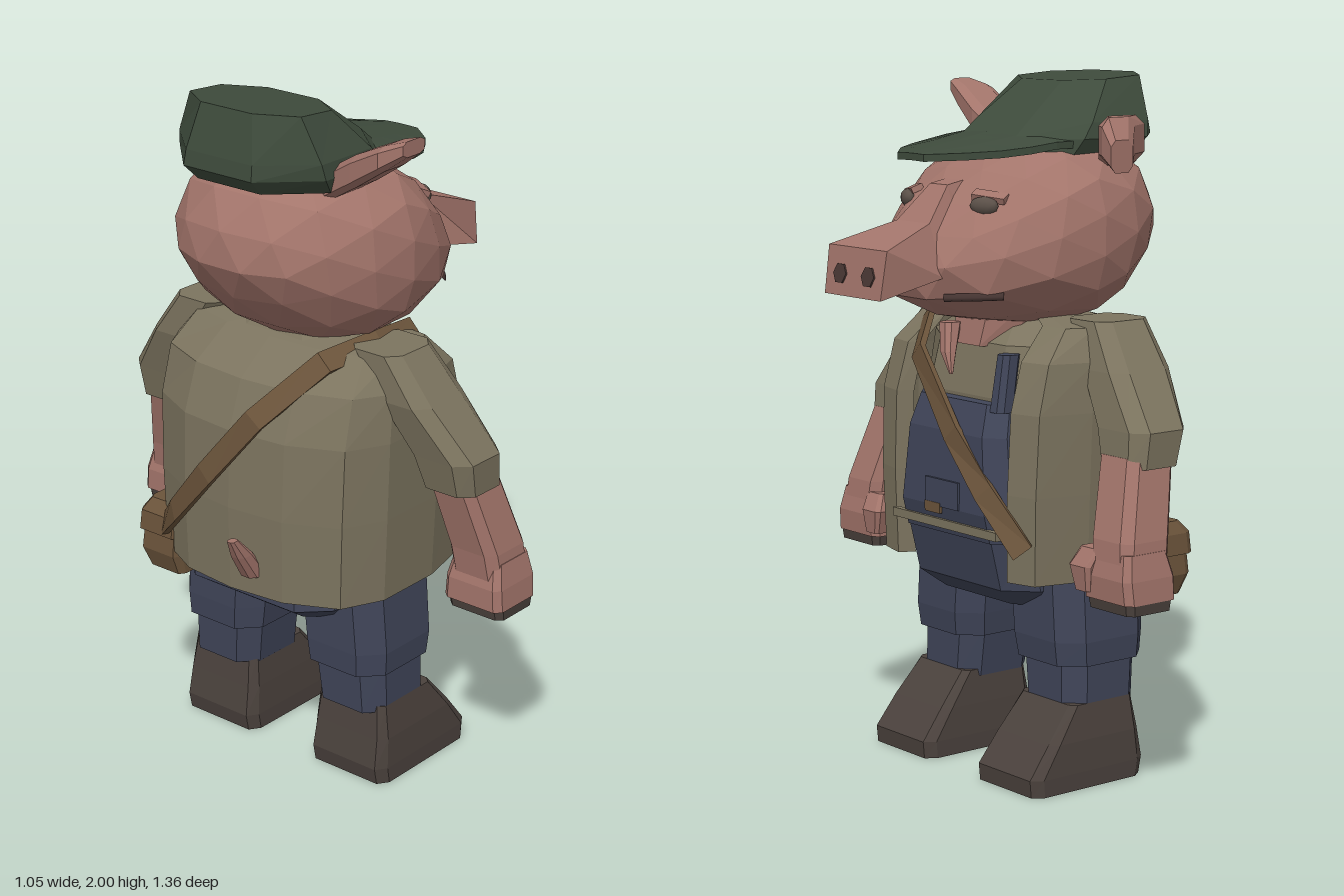
import * as THREE from 'three';

const mat = (name, color, side = THREE.FrontSide) => {
  const m = new THREE.MeshStandardMaterial({ color, side });
  m.name = name;
  return m;
};

// Cross-section with cut corners on a plane at pos along an axis.
// y: a = x, b = z    z: a = x, b = y
function ring(axis, pos, a0, a1, b0, b1, cut = 0.25) {
  const ca = (a1 - a0) * cut, cb = (b1 - b0) * cut;
  const pts = [[a1, b0 + cb], [a1, b1 - cb], [a1 - ca, b1], [a0 + ca, b1],
    [a0, b1 - cb], [a0, b0 + cb], [a0 + ca, b0], [a1 - ca, b0]];
  return pts.map(([a, b]) => axis === 'y' ? V(a, pos, b) : V(a, b, pos));
}

// Flat-shaded skin over rings; closed solids are turned to face outward
function loft(rings, closed = true) {
  const tris = [], n = rings[0].length;
  for (let r = 0; r + 1 < rings.length; r++) {
    const a = rings[r], b = rings[r + 1];
    for (let i = 0; i < (closed ? n : n - 1); i++) {
      const j = (i + 1) % n;
      tris.push([a[i], b[i], a[j]], [a[j], b[i], b[j]]);
    }
  }
  if (closed) {
    const a = rings[0], b = rings[rings.length - 1];
    for (let i = 1; i + 1 < n; i++) tris.push([a[0], a[i], a[i + 1]], [b[0], b[i + 1], b[i]]);
    const o = a[0], v = new THREE.Vector3(), p = new THREE.Vector3(), q = new THREE.Vector3();
    let volume = 0;
    for (const [s, t, u] of tris) {
      volume += v.copy(s).sub(o).dot(p.copy(t).sub(o).cross(q.copy(u).sub(o)));
    }
    if (volume < 0) tris.forEach(t => t.reverse());
  }
  const g = new THREE.BufferGeometry().setFromPoints(tris.flat());
  g.computeVertexNormals();
  return g;
}

const stack = (axis, rows, cut) => loft(rows.map(r => ring(axis, ...r, cut)));
const V = (x, y, z) => new THREE.Vector3(x, y, z);

// Maps a unit sphere point onto the head: boxy, jaw forward, brow and nape drawn in
function headPoint(x, y, z) {
  const p = 2.6, k = 1 / Math.pow(Math.pow(Math.hypot(x, z), p) + Math.pow(Math.abs(y), p), 1 / p);
  const front = Math.max(x, 0), nape = Math.max(-x, 0) * Math.max(-y, 0);
  return V(-0.08 + k * (0.39 * x - 0.19 * y * front + 0.15 * nape),
    1.565 + 0.275 * k * y * (1 - 0.14 * front), 0.37 * k * z);
}

export function createModel() {
  const model = new THREE.Group();
  const skin = mat('pink skin', 0xa3756b);
  const olive = mat('olive cloth', 0x7c745f, THREE.DoubleSide);
  const denim = mat('navy denim', 0x404559);
  const green = mat('green felt', 0x3e4b3c);
  const shoeBrown = mat('dark shoe leather', 0x4b423d);
  const leather = mat('brown leather', 0x6b543b);
  const dark = mat('dark hollow', 0x4a3835);
  const eyeGrey = mat('eye grey', 0x5c5149);
  const add = (name, geometry, material) => {
    const m = new THREE.Mesh(geometry, material);
    m.name = name;
    model.add(m);
    return m;
  };
  const box = (name, w, h, d, x, y, z, material) => {
    const m = add(name, new THREE.BoxGeometry(w, h, d), material);
    m.position.set(x, y, z);
    return m;
  };

  // Head
  const headGeo = new THREE.IcosahedronGeometry(1, 2);
  const pos = headGeo.attributes.position;
  for (let i = 0; i < pos.count; i++) {
    const p = headPoint(pos.getX(i), pos.getY(i), pos.getZ(i));
    pos.setXYZ(i, p.x, p.y, p.z);
  }
  headGeo.computeVertexNormals();
  add('head', headGeo, skin);
  add('neck', stack('y', [[1.24, -0.2, 0.12, -0.11, 0.11], [1.38, -0.24, 0.1, -0.16, 0.16]]), skin);
  add('chinTuft', stack('y', [[1.16, 0.17, 0.18, 0.0, 0.01], [1.22, 0.14, 0.18, 0.015, 0.06],
    [1.3, 0.1, 0.16, 0.04, 0.09]]), skin);

  // Snout: four-cornered sections from bridge to nose plate
  const snoutRing = (x, lean, y0, y1, zTop, zLow) =>
    [V(x, y1, zTop), V(x, y1, -zTop), V(x + lean, y0, -zLow), V(x + lean, y0, zLow)];
  add('snout', loft([snoutRing(0.12, 0, 1.46, 1.72, 0.04, 0.12), snoutRing(0.22, 0, 1.46, 1.7, 0.04, 0.13),
    snoutRing(0.31, 0, 1.455, 1.6, 0.075, 0.14), snoutRing(0.5, 0.02, 1.405, 1.54, 0.135, 0.13)]), skin);

  // Paired face details
  for (const s of [1, -1]) {
    const nostril = add('nostril', new THREE.CylinderGeometry(0.03, 0.03, 0.008, 6), dark);
    nostril.rotation.z = -Math.PI / 2 + 0.15;
    nostril.position.set(0.512, 1.465, s * 0.065);
    const eye = add('eye', new THREE.IcosahedronGeometry(1, 1), eyeGrey);
    eye.scale.set(0.02, 0.026, 0.044);
    eye.rotation.y = s * -0.45;
    eye.position.copy(headPoint(0.83, 0.34, s * 0.46));
    const lid = box('eyelid', 0.035, 0.018, 0.1, 0, 0, 0, skin);
    lid.rotation.set(s * 0.12, s * -0.45, -0.35);
    lid.position.copy(headPoint(0.8, 0.43, s * 0.455));
    const mouthPts = [0.45, 0.6, 0.75, 0.9].map((t, i) =>
      headPoint(0.79 * Math.cos(t), -0.62 + 0.02 * i, 0.79 * Math.sin(t) * s));
    add('mouthCorner', new THREE.TubeGeometry(new THREE.CatmullRomCurve3(mouthPts), 6, 0.011, 4), dark);
  }

  // Ears: one raised, one folded forward
  add('raisedEar', stack('z', [[0.2, -0.27, -0.15, 1.74, 1.83], [0.32, -0.3, -0.15, 1.81, 1.9],
    [0.43, -0.32, -0.18, 1.88, 1.95], [0.49, -0.29, -0.2, 1.925, 1.968]], 0.2), skin);
  add('foldedEar', stack('z', [[-0.22, -0.3, -0.18, 1.72, 1.82], [-0.31, -0.27, -0.1, 1.76, 1.89],
    [-0.37, -0.18, -0.06, 1.76, 1.89], [-0.42, -0.13, -0.05, 1.74, 1.83]], 0.2), skin);

  // Cap: crown with a sloping top, thin curved brim
  const crown = [[1.78, -0.41, 0.07, -0.25, 0.24], [1.825, -0.455, 0.055, -0.27, 0.255],
    [1.87, -0.45, 0, -0.26, 0.25], [2.0, -0.42, -0.15, -0.2, 0.195]].map(r => ring('y', ...r, 0.27));
  crown[3].forEach(p => { p.y -= 0.07 * (p.x + 0.42); });
  add('capCrown', loft(crown), green);
  const brimStations = [[-0.2, 0.245], [0.0, 0.25], [0.08, 0.235], [0.16, 0.205], [0.24, 0.15], [0.318, 0.06]];
  add('capBrim', loft(brimStations.map(([x, w]) => {
    const y = z => 1.828 - 0.18 * Math.max(x, 0) - 0.45 * z * z;
    const zs = [w, w / 2, 0, -w / 2, -w];
    return [...zs.map(z => V(x, y(z) + 0.02, z)), ...zs.reverse().map(z => V(x, y(z), z))];
  })), green);

  // Shirt and open jacket
  add('shirt', stack('y', [[0.7, -0.36, 0.1, -0.33, 0.33], [1.1, -0.36, 0.13, -0.33, 0.33],
    [1.25, -0.29, 0.1, -0.3, 0.3], [1.34, -0.22, 0.0, -0.17, 0.17]]), olive);
  const half = [[0.85, 0.6], [1, 0.66], [0.92, 0.9], [0.4, 1], [-0.3, 1], [-0.7, 0.85], [-0.94, 0.46]];
  const outline = [...half, [-1, 0], ...half.map(([u, v]) => [u, -v]).reverse()];
  const jacketRows = [[0.6, -0.435, 0.18, 0.385], [0.85, -0.44, 0.185, 0.395], [1.08, -0.43, 0.175, 0.4],
    [1.22, -0.38, 0.135, 0.395], [1.31, -0.26, 0.04, 0.36], [1.33, -0.2, -0.02, 0.2]];
  add('jacket', loft(jacketRows.map(([y, b, f, w]) =>
    outline.map(([u, v]) => V((b + f) / 2 + u * (f - b) / 2, y, v * w))), false), olive);

  // Overalls
  add('overallSeat', stack('y', [[0.505, -0.3, 0.08, -0.22, 0.22], [0.56, -0.38, 0.15, -0.27, 0.27],
    [0.72, -0.38, 0.19, -0.27, 0.27]], 0.15), denim);
  add('overallBib', stack('y', [[0.7, -0.2, 0.19, -0.25, 0.25], [0.78, -0.2, 0.21, -0.25, 0.25],
    [1.0, -0.2, 0.2, -0.22, 0.22], [1.09, -0.2, 0.17, -0.2, 0.2]], 0.12), denim);
  add('bibStrap', stack('y', [[1.07, 0.11, 0.17, -0.21, -0.15], [1.23, 0.08, 0.14, -0.2, -0.15]]), denim);
  box('belt', 0.02, 0.025, 0.48, 0.2, 0.73, 0, olive);
  box('bibPocket', 0.008, 0.08, 0.15, 0.212, 0.82, 0.0, denim);
  box('pocketTab', 0.008, 0.03, 0.07, 0.214, 0.775, 0.04, leather);

  // Limbs, mirrored on both sides
  for (const s of [1, -1]) {
    const limb = (name, rows, material, cut) => add(name,
      stack('y', rows.map(([y, a, b, c, d]) => s > 0 ? [y, a, b, c, d] : [y, a, b, -d, -c]), cut), material);
    limb('upperTrouserLeg', [[0.35, -0.26, 0.05, 0.09, 0.375], [0.42, -0.265, 0.06, 0.08, 0.38],
      [0.64, -0.27, 0.06, 0.06, 0.365]], denim, 0.2);
    limb('lowerTrouserLeg', [[0.22, -0.23, 0.03, 0.12, 0.365], [0.38, -0.24, 0.03, 0.1, 0.365]], denim, 0.2);
    limb('shoe', [[0, -0.22, 0.18, 0.11, 0.385], [0.05, -0.23, 0.185, 0.11, 0.385],
      [0.14, -0.215, 0.115, 0.115, 0.38], [0.24, -0.2, 0.03, 0.125, 0.365]], shoeBrown, 0.08);
    limb('sleeve', [[0.95, -0.155, 0.025, 0.44, 0.62], [1.05, -0.18, 0.02, 0.41, 0.625],
      [1.2, -0.22, 0.0, 0.33, 0.51], [1.33, -0.22, -0.03, 0.24, 0.41]], olive, 0.2);
    limb('forearm', [[0.66, -0.07, 0.1, 0.5, 0.665], [0.76, -0.085, 0.09, 0.49, 0.655],
      [0.98, -0.14, 0.025, 0.45, 0.605]], skin, 0.16);
    limb('hand', [[0.595, -0.08, 0.1, 0.48, 0.68], [0.66, -0.08, 0.105, 0.485, 0.675],
      [0.73, -0.06, 0.09, 0.5, 0.66]], skin, 0.1);
    limb('fingertips', [[0.565, -0.065, 0.09, 0.49, 0.675], [0.6, -0.07, 0.095, 0.485, 0.678]], shoeBrown, 0.1);
    limb('thumb', [[0.61, 0.05, 0.11, 0.46, 0.52], [0.68, 0.04, 0.12, 0.44, 0.53],
      [0.73, 0.04, 0.09, 0.46, 0.54]], skin, 0.15);
  }

  // Shoulder strap: flat band laid over the body
  const strapPath = [V(0.185, 0.7, -0.33), V(0.2, 0.85, -0.18), V(0.2, 1.0, -0.04), V(0.155, 1.2, 0.17),
    V(0.05, 1.3, 0.255), V(-0.12, 1.315, 0.27), V(-0.29, 1.29, 0.22), V(-0.435, 1.14, 0.1),
    V(-0.465, 0.95, -0.05), V(-0.43, 0.78, -0.2), V(-0.34, 0.66, -0.33)];
  add('shoulderStrap', loft(strapPath.map((p, i) => {
    const t = strapPath[Math.min(i + 1, strapPath.length - 1)].clone().sub(strapPath[Math.max(i - 1, 0)]);
    const n = V(p.x + 0.13, Math.max(0, p.y - 1.05), p.z).normalize();
    const w = t.cross(n).normalize().multiplyScalar(0.032);
    const q = p.clone().addScaledVector(n, 0.018);
    return [p.clone().add(w), p.clone().sub(w), q.clone().sub(w), q.clone().add(w)];
  })), leather);

  // Hip bag with flap
  add('hipBag', stack('y', [[0.52, -0.35, -0.15, -0.4, -0.27], [0.58, -0.37, -0.13, -0.42, -0.27],
    [0.7, -0.36, -0.14, -0.41, -0.27]], 0.1), leather);
  add('bagFlap', stack('y', [[0.64, -0.375, -0.125, -0.425, -0.27], [0.7, -0.37, -0.13, -0.42, -0.27],
    [0.735, -0.34, -0.15, -0.4, -0.29]], 0.1), leather);

  // Tail
  add('tail', stack('y', [[0.66, -0.45, -0.38, 0.04, 0.1], [0.74, -0.5, -0.44, 0.05, 0.1],
    [0.8, -0.53, -0.5, 0.07, 0.095]]), skin);
  return model;
}
